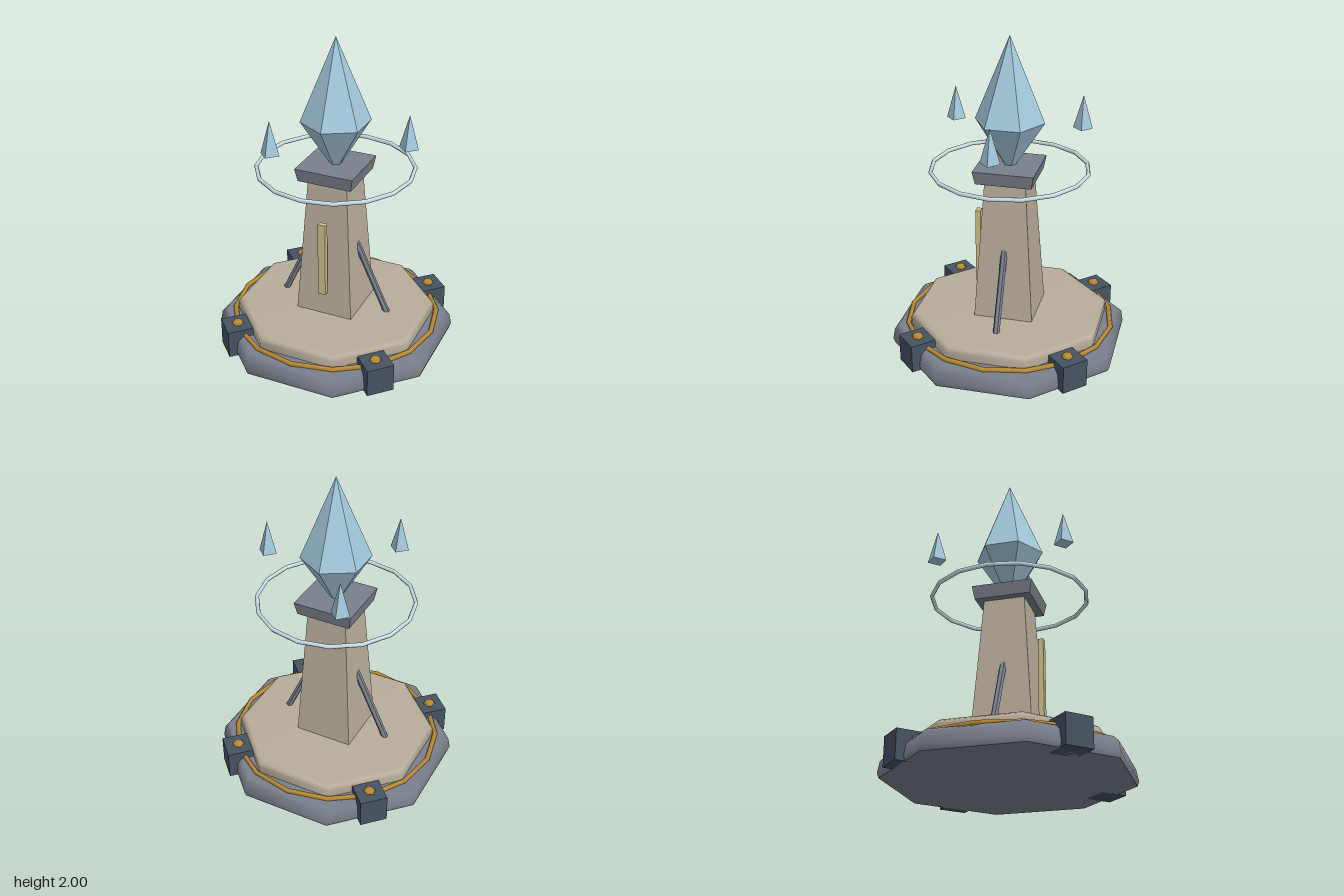
import * as THREE from 'three';

const mat = (name, color) => {
  const m = new THREE.MeshStandardMaterial({ color });
  m.name = name;
  return m;
};

// Gives every face its own flat normal
const faceted = (geometry) => {
  const g = geometry.index ? geometry.toNonIndexed() : geometry;
  g.computeVertexNormals();
  return g;
};

// Square block whose top and bottom differ in half width
const taperedBlock = (top, bottom, height) =>
  faceted(new THREE.CylinderGeometry(top * Math.SQRT2, bottom * Math.SQRT2, height, 4).rotateY(Math.PI / 4));

// Octagonal slab turned from a bottom-to-top profile, flat sides to the axes
const octagon = (profile) =>
  new THREE.LatheGeometry(profile.map(([r, y]) => new THREE.Vector2(r, y)), 8).rotateY(Math.PI / 8);

export function createModel() {
  const model = new THREE.Group();
  model.name = 'crystalTower';

  const slate = mat('slate', 0x7a808c);
  const stone = mat('stone', 0xb8ad9b);
  const iron = mat('iron', 0x465361);
  const gold = mat('gold', 0xb88a34);
  const crystal = mat('crystal', 0xa4c8dc);
  const paleRing = mat('paleRing', 0xcbe2ea);
  const glow = mat('glowStrip', 0xcbc08c);

  const add = (name, geometry, material, x = 0, y = 0, z = 0) => {
    const mesh = new THREE.Mesh(geometry, material);
    mesh.name = name;
    mesh.position.set(x, y, z);
    model.add(mesh);
    return mesh;
  };

  // Stepped octagonal base
  add('baseUnderside', octagon([[0, 0], [0.75, 0]]), slate);
  add('base', octagon([[0.75, 0], [0.76, 0.03], [0.747, 0.1], [0.715, 0.13], [0, 0.13]]), slate);
  add('platform', octagon([[0.635, 0.12], [0.638, 0.18], [0.625, 0.2], [0.6, 0.215], [0, 0.215]]), stone);
  add('baseBand', new THREE.TorusGeometry(0.657, 0.016, 6, 16).rotateX(Math.PI / 2), gold, 0, 0.138, 0);

  // Corner anchors with domed bolts
  for (const sx of [-1, 1]) {
    for (const sz of [-1, 1]) {
      add('anchorBlock', new THREE.BoxGeometry(0.172, 0.18, 0.172).rotateY(Math.PI / 4), iron, sx * 0.47, 0.09, sz * 0.47);
      add('anchorBolt', new THREE.SphereGeometry(0.038, 6, 4).rotateY(Math.PI / 6).scale(1, 0.6, 1), gold, sx * 0.47, 0.186, sz * 0.47);
    }
  }

  // Tapered shaft and its cap
  add('shaft', taperedBlock(0.127, 0.187, 0.92), stone, 0, 0.665, 0);
  add('capPlate', taperedBlock(0.189, 0.174, 0.083), slate, 0, 1.158, 0);
  add('glowStrip', new THREE.BoxGeometry(0.05, 0.495, 0.033), glow, 0, 0.622, 0.2);

  // Side struts leaning on the shaft
  for (const s of [-1, 1]) {
    const foot = new THREE.Vector3(s * 0.357, 0.205, 0);
    const head = new THREE.Vector3(s * 0.12, 0.721, 0);
    const axis = head.clone().sub(foot);
    const strut = add('strut', faceted(new THREE.CylinderGeometry(0.021, 0.021, axis.length(), 6)), slate);
    strut.position.copy(foot).add(head).multiplyScalar(0.5);
    strut.quaternion.setFromUnitVectors(new THREE.Vector3(0, 1, 0), axis.normalize());
  }

  // Main crystal: two six-sided points joined at the girdle
  add('crystalTop', faceted(new THREE.ConeGeometry(0.216, 0.525, 6, 1, true)), crystal, 0, 1.7375, 0);
  add('crystalBottom', faceted(new THREE.ConeGeometry(0.216, 0.335, 6, 1, true).rotateX(Math.PI)), crystal, 0, 1.3075, 0);

  // Floating ring and shards
  add('floatingRing', new THREE.TorusGeometry(0.485, 0.013, 6, 16).rotateX(Math.PI / 2), paleRing, 0, 1.17, 0);
  for (let i = 0; i < 3; i++) {
    const a = (i * Math.PI * 2) / 3;
    add('shard', faceted(new THREE.ConeGeometry(0.061, 0.21, 4)), crystal, 0.467 * Math.cos(a), 1.487, 0.467 * Math.sin(a));
  }

  return model;
}
